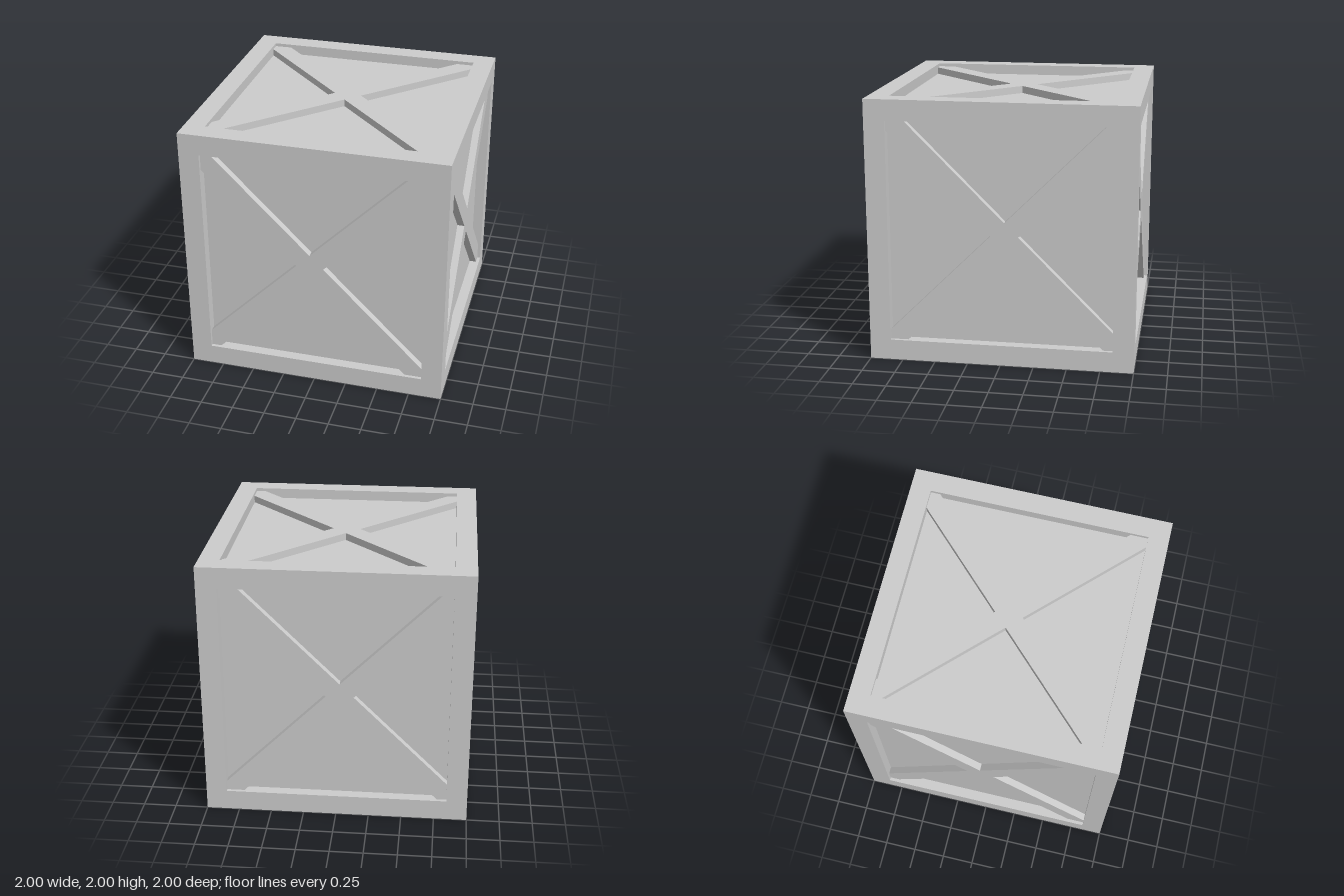
import * as THREE from 'three';

const BEAM = 0.157;          // width of the frame beams
const HALF = 1 - BEAM;       // half size of each opening
const PANEL = 0.92;          // distance of the panels from the centre
const BRACE = 0.975;         // distance of the brace fronts from the centre
const W = 0.104;             // half width of a brace, measured along an axis

const material = new THREE.MeshStandardMaterial({ color: 0xcccccc, flatShading: true });

function addBox(parent, name, size, position) {
  const mesh = new THREE.Mesh(new THREE.BoxGeometry(...size), material);
  mesh.name = name;
  mesh.position.set(...position);
  parent.add(mesh);
}

// Outline of two crossing diagonals, trimmed to the square opening
function crossShape(cx, cy) {
  const points = [];
  const quadrants = [[1, 1], [-1, 1], [-1, -1], [1, -1]];
  const valleys = [[0, W], [-W, 0], [0, -W], [W, 0]];
  quadrants.forEach(([sx, sy], i) => {
    const onSide = [sx * HALF, cy + sx * sy * (sx * HALF - cx) - sy * W];
    const onEnd = [cx + sx * sy * (sy * HALF - cy) - sx * W, sy * HALF];
    const corner = [sx * HALF, sy * HALF];
    points.push(...(sx * sy > 0 ? [onSide, corner, onEnd] : [onEnd, corner, onSide]));
    points.push([cx + valleys[i][0], cy + valleys[i][1]]);
  });
  return new THREE.Shape(points.map(([x, y]) => new THREE.Vector2(x, y)));
}

export function createModel() {
  const crate = new THREE.Group();
  crate.name = 'crate';
  const body = new THREE.Group();
  body.name = 'body';
  body.position.y = 1;
  crate.add(body);

  // Inner box forming the recessed panels
  addBox(body, 'panels', [2 * PANEL, 2 * PANEL, 2 * PANEL], [0, 0, 0]);

  // Frame: four posts, with rails between them
  const m = 1 - BEAM / 2;
  for (const a of [-m, m]) {
    for (const b of [-m, m]) {
      addBox(body, 'post', [BEAM, 2, BEAM], [a, 0, b]);
      addBox(body, 'crossRail', [2 * HALF, BEAM, BEAM], [0, a, b]);
      addBox(body, 'sideRail', [BEAM, BEAM, 2 * HALF], [a, b, 0]);
    }
  }

  // Diagonal braces on all six faces, set slightly off centre
  const faces = [
    ['frontBrace', 0, 0, -0.03, 0],
    ['backBrace', 0, Math.PI, 0.03, 0],
    ['rightBrace', 0, Math.PI / 2, 0.03, 0],
    ['leftBrace', 0, -Math.PI / 2, -0.03, 0],
    ['topBrace', -Math.PI / 2, 0, 0, 0.03],
    ['bottomBrace', Math.PI / 2, 0, 0, -0.03],
  ];
  for (const [name, rx, ry, cx, cy] of faces) {
    const geometry = new THREE.ExtrudeGeometry(crossShape(cx, cy), {
      depth: BRACE - PANEL, bevelEnabled: false,
    });
    geometry.translate(0, 0, PANEL);
    const brace = new THREE.Mesh(geometry, material);
    brace.name = name;
    brace.rotation.set(rx, ry, 0);
    body.add(brace);
  }
  return crate;
}
